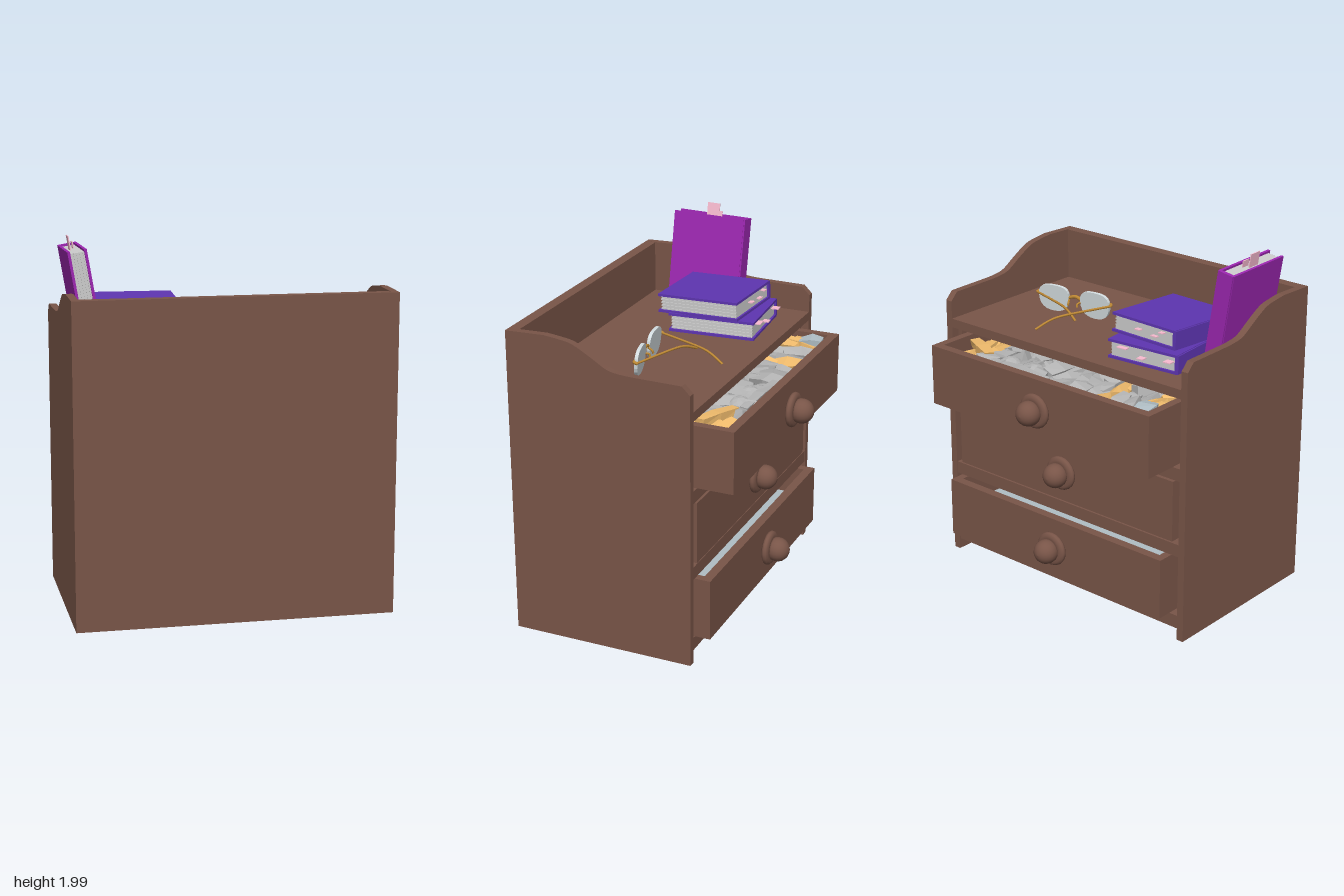
import * as THREE from 'three';

const mat = (color, extra = {}) => new THREE.MeshStandardMaterial({ color, ...extra });
const wood = mat(0x795548), pages = mat(0xbdbdbd), pink = mat(0xf8bbd0);
const violet = mat(0x5e35b1), magenta = mat(0x9c27b0);
const brass = mat(0xc08a35), glass = mat(0xd3dcdf);
const clutterMats = {
  gold: mat(0xf0bb6c, { flatShading: true }),
  grey: mat(0xb4b4b4, { flatShading: true }),
  blue: mat(0xb0bec5, { flatShading: true }),
};

function add(parent, name, geometry, material, x = 0, y = 0, z = 0) {
  const mesh = new THREE.Mesh(geometry, material);
  mesh.name = name;
  mesh.position.set(x, y, z);
  parent.add(mesh);
  return mesh;
}

// Box given by its limits on each axis
function slab(parent, name, material, [x0, x1], [y0, y1], [z0, z1]) {
  return add(parent, name, new THREE.BoxGeometry(x1 - x0, y1 - y0, z1 - z0), material,
    (x0 + x1) / 2, (y0 + y1) / 2, (z0 + z1) / 2);
}

function group(parent, name, x = 0, y = 0, z = 0) {
  const g = new THREE.Group();
  g.name = name;
  g.position.set(x, y, z);
  parent.add(g);
  return g;
}

let seed = 7;
const rand = (a, b) => {
  seed = (seed * 16807) % 2147483647;
  return a + (b - a) * seed / 2147483647;
};

function buildCabinet(root) {
  const cabinet = group(root, 'cabinet');
  // Side panel outline drawn in (z, y), with the wavy upper edge
  const s = new THREE.Shape();
  s.moveTo(0.68, 0);
  s.lineTo(0.68, 1.71);
  s.lineTo(0.46, 1.717);
  s.splineThru([[0.38, 1.708], [0.3, 1.692], [0.2, 1.639], [0.114, 1.588], [0.05, 1.573], [-0.03, 1.568]]
    .map(p => new THREE.Vector2(...p)));
  s.lineTo(-0.3, 1.565);
  s.lineTo(-0.345, 1.52);
  s.lineTo(-0.345, 0);
  s.closePath();
  const side = new THREE.ExtrudeGeometry(s, { depth: 0.04, bevelEnabled: false, curveSegments: 3 });
  side.rotateY(-Math.PI / 2); // shape x becomes z, depth runs to -x
  add(cabinet, 'leftSidePanel', side, wood, 0.845);
  add(cabinet, 'rightSidePanel', side, wood, -0.805);

  const inner = [-0.805, 0.805];
  slab(cabinet, 'backPanel', wood, inner, [0, 1.71], [0.62, 0.68]);
  slab(cabinet, 'topShelf', wood, inner, [1.37, 1.42], [-0.345, 0.62]);
  slab(cabinet, 'floorPanel', wood, inner, [0.11, 0.135], [-0.31, 0.62]);
  slab(cabinet, 'plinthRail', wood, inner, [0.06, 0.135], [-0.335, -0.3]);
  for (const y of [0.485, 0.915]) slab(cabinet, 'divider', wood, inner, [y, y + 0.07], [-0.341, 0.62]);
  for (const x of [-0.805, 0.775]) slab(cabinet, 'runner', wood, [x, x + 0.03], [0.11, 1.37], [-0.3, 0.62]);
}

// Turned knob: rounded collar, neck and ball
function knobGeometry() {
  const pts = [[0, 0], [0.08, 0], [0.093, 0.008], [0.096, 0.018], [0.093, 0.028], [0.08, 0.038], [0.052, 0.04]];
  for (let i = 0; i <= 8; i++) {
    const a = -0.5 + (Math.PI / 2 + 0.5) * i / 8;
    pts.push([0.068 * Math.cos(a), 0.064 + 0.068 * Math.sin(a)]);
  }
  const g = new THREE.LatheGeometry(pts.map(([r, y]) => new THREE.Vector2(Math.max(r, 0), y)), 20);
  return g.rotateX(-Math.PI / 2);
}

function buildDrawer(root, name, x, y, front, knob) {
  const d = group(root, name, x, y, front);
  const w = 0.763, t = 0.045, h = 0.34, depth = 0.9;
  slab(d, 'drawerFront', wood, [-w, w], [0, h], [0, 0.05]);
  slab(d, 'drawerBack', wood, [-w, w], [0, h], [depth - t, depth]);
  for (const a of [-w, w - t]) slab(d, 'drawerSide', wood, [a, a + t], [0, h], [0.05, depth - t]);
  slab(d, 'drawerBottom', wood, [-w + t, w - t], [0, 0.03], [0.05, depth - t]);
  add(d, 'knob', knob, wood, -0.01 - x, h / 2, 0);
  return d;
}

// Irregular block: a box whose corners are pushed about and tapered
function chunk(w, h, l) {
  const g = new THREE.BoxGeometry(w, h, l, 1, 1, 2);
  const p = g.attributes.position, moved = new Map();
  for (let i = 0; i < p.count; i++) {
    const key = [p.getX(i), p.getY(i), p.getZ(i)].join();
    if (!moved.has(key)) moved.set(key, [rand(0.75, 1.05), rand(0.75, 1.05), rand(0.9, 1.05)]);
    const [a, b, c] = moved.get(key);
    const k = Math.abs(p.getZ(i)) < 0.001 ? 1.1 : 0.85;
    p.setXYZ(i, p.getX(i) * a * k, p.getY(i) * b * k, p.getZ(i) * c);
  }
  g.computeVertexNormals();
  return g;
}

function buildClutter(drawer) {
  const c = group(drawer, 'drawerContents');
  slab(c, 'lowerLayer', clutterMats.grey, [-0.71, 0.71], [0.03, 0.2], [0.055, 0.84]);
  for (let row = 0; row < 4; row++) {
    for (let i = 0; i < 15; i++) {
      const x = -0.62 + i * 0.0885 + rand(-0.02, 0.02);
      const gold = x > 0.46 || x < -0.57 || Math.abs(x + 0.33) < 0.045;
      const item = add(c, 'trinket', chunk(rand(0.07, 0.1), rand(0.08, 0.1), rand(0.17, 0.21)),
        gold ? clutterMats.gold : clutterMats.grey,
        x, rand(0.245, 0.285), 0.15 + row * 0.12 + rand(-0.01, 0.01));
      item.rotation.set(rand(-0.15, 0.15), rand(-0.4, 0.4), rand(-0.5, 0.5));
    }
  }
  for (const [x, z, r] of [[0.16, 0.17, 0.075], [0.32, 0.155, 0.08]]) {
    add(c, 'roundTrinket', new THREE.IcosahedronGeometry(r, 2), clutterMats.grey, x, 0.26, z);
  }
  const blueBlock = add(c, 'blueTrinket', chunk(0.1, 0.08, 0.13), clutterMats.blue, -0.65, 0.3, 0.125);
  blueBlock.rotation.y = 0.2;
  const longBar = add(c, 'longTrinket', chunk(0.06, 0.06, 0.42), clutterMats.grey, 0.2, 0.3, 0.09);
  longBar.rotation.y = Math.PI / 2 - 0.04;
  const goldBar = add(c, 'goldTrinket', chunk(0.07, 0.05, 0.24), clutterMats.gold, 0.56, 0.32, 0.18);
  goldBar.rotation.y = 1.1;
}

// Closed book lying flat: spine at -x, head at -z; tabs are [x, y, width, reach]
function buildBook(parent, name, cover, w, t, h, tabs) {
  const b = group(parent, name);
  const c = 0.014, X = w / 2, Z = h / 2, Y = t / 2;
  slab(b, 'lowerCover', cover, [-X, X], [-Y, -Y + c], [-Z, Z]);
  slab(b, 'upperCover', cover, [-X, X], [Y - c, Y], [-Z, Z]);
  slab(b, 'spine', cover, [-X - 0.008, -X + c], [-Y + 0.003, Y - 0.003], [-Z, Z]);
  // Page block in thin staggered leaves
  const n = 9, leaf = (t - 2 * c) / n;
  for (let i = 0; i < n; i++) {
    const inset = 0.012 + (i % 2) * 0.005, y = -Y + c + i * leaf;
    slab(b, 'pages', pages, [-X + c, X - inset], [y, y + leaf], [-Z + 0.012, Z - inset]);
  }
  for (const [x, y, tw, reach] of tabs) {
    slab(b, 'pageTab', pink, [x - tw / 2, x + tw / 2], [y, y + 0.005], [-Z - reach, -Z + 0.06]);
  }
  return b;
}

function buildBooks(root) {
  const books = group(root, 'books');
  const lower = buildBook(books, 'lowerBook', violet, 0.43, 0.105, 0.49,
    [[-0.17, 0.01, 0.045, 0.03], [0.0, -0.01, 0.04, 0.025], [0.12, 0.02, 0.06, 0.018]]);
  lower.position.set(-0.43, 1.473, 0.025);
  lower.rotation.y = 0.08;
  const upper = buildBook(books, 'upperBook', violet, 0.43, 0.105, 0.48,
    [[-0.13, 0.02, 0.03, 0.015], [-0.08, -0.01, 0.04, 0.012], [0.03, 0, 0.035, 0.015]]);
  upper.position.set(-0.42, 1.578, 0.075);
  upper.rotation.set(0.04, -0.045, 0);

  // Upright book leaning against the side panel
  const leaning = group(books, 'leaningBook', -0.742, 1.685, 0.25);
  leaning.rotation.set(-0.015, 0, 0.165);
  const upright = buildBook(leaning, 'uprightBook', magenta, 0.425, 0.1, 0.5,
    [[0.0, 0.01, 0.075, 0.063], [-0.04, -0.012, 0.05, 0.025]]);
  upright.quaternion.setFromRotationMatrix(new THREE.Matrix4().makeBasis(
    new THREE.Vector3(0, 0, 1), new THREE.Vector3(-1, 0, 0), new THREE.Vector3(0, -1, 0)));
}

function buildGlasses(root) {
  const g = group(root, 'spectacles', 0.325, 1.42, 0.135);
  g.rotation.y = 0.165;
  const wire = (name, pts, r = 0.007) => add(g, name, new THREE.TubeGeometry(
    new THREE.CatmullRomCurve3(pts.map(p => new THREE.Vector3(...p))), 20, r, 6), brass);

  // Rounded lens outline
  const s = new THREE.Shape();
  s.moveTo(-0.095, 0.015);
  s.bezierCurveTo(-0.095, 0.07, -0.06, 0.078, 0, 0.078);
  s.bezierCurveTo(0.06, 0.078, 0.095, 0.07, 0.095, 0.015);
  s.bezierCurveTo(0.095, -0.05, 0.06, -0.075, 0, -0.075);
  s.bezierCurveTo(-0.06, -0.075, -0.095, -0.05, -0.095, 0.015);
  const lens = new THREE.ExtrudeGeometry(s, { depth: 0.018, bevelEnabled: false, curveSegments: 6 });
  for (const m of [-1, 1]) {
    const l = add(g, 'lens', lens, glass, m * 0.132, 0.08, -0.008);
    l.rotation.set(-0.08, m * 0.05, 0);
    wire('hingeArm', [[m * 0.215, 0.105, 0.005], [m * 0.235, 0.105, 0], [m * 0.238, 0.1, -0.02]], 0.009);
    wire('nosePad', [[m * 0.04, 0.085, 0.005], [m * 0.028, 0.075, -0.02], [m * 0.03, 0.06, -0.025]], 0.006);
  }
  wire('bridge', [[-0.045, 0.095, 0.005], [0, 0.108, 0.008], [0.045, 0.095, 0.005]], 0.01);

  // Folded temples, crossing behind the lenses with drooping ends
  const temple = (name, x0, z0, x1, z1, lift) => {
    const at = (k, y) => [x0 + (x1 - x0) * k, y + lift * k, z0 + (z1 - z0) * k];
    wire(name, [at(0, 0.1), at(0.35, 0.098), at(0.7, 0.092), at(0.82, 0.08), at(1, 0.045)]);
  };
  temple('rightTemple', -0.238, -0.01, -0.005, -0.405, 0);
  temple('leftTemple', 0.238, -0.01, -0.15, -0.23, 0.02);
}

export function createModel() {
  const root = new THREE.Group();
  root.name = 'drawerChest';
  buildCabinet(root);
  const knob = knobGeometry();
  buildClutter(buildDrawer(root, 'topDrawer', 0, 0.99, -0.545, knob));
  buildDrawer(root, 'middleDrawer', 0, 0.565, -0.345, knob);
  const bottom = buildDrawer(root, 'bottomDrawer', 0.012, 0.14, -0.425, knob);
  slab(bottom, 'paperStack', clutterMats.blue, [-0.68, 0.68], [0.03, 0.2], [0.07, 0.8]);
  buildBooks(root);
  buildGlasses(root);
  return root;
}
